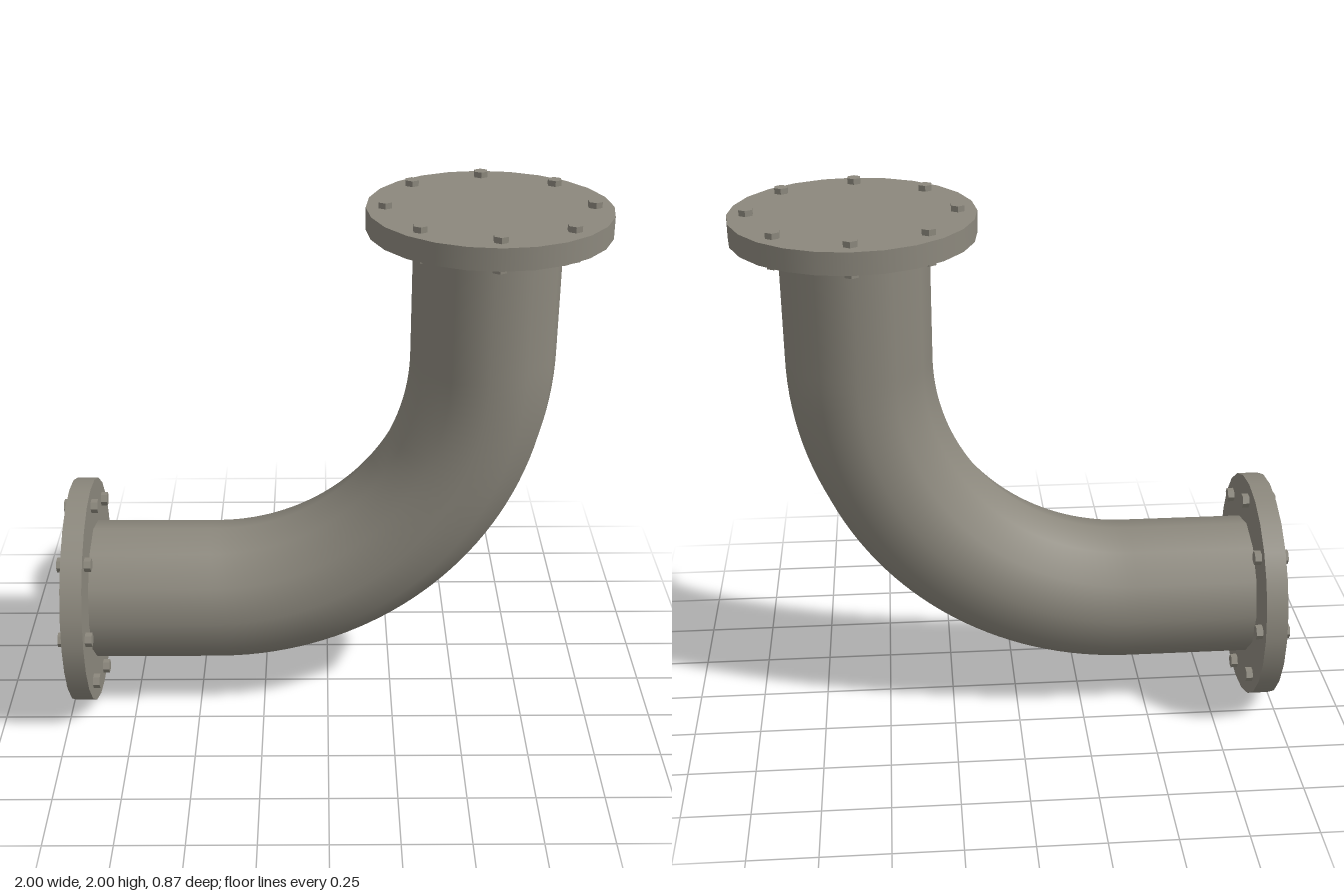
import * as THREE from 'three';

const AXIS_Y = 0.435; // height of the horizontal run
const AXIS_X = 0.565; // x of the vertical run
const BEND = 0.995; // bend radius at the centre line
const RUN = 0.495; // length of each straight run
const START_X = AXIS_X - BEND - RUN;

// Straight run, quarter bend, straight run
class ElbowCurve extends THREE.Curve {
  getPoint(t, target = new THREE.Vector3()) {
    const arc = BEND * Math.PI / 2;
    const s = t * (2 * RUN + arc);
    if (s < RUN) return target.set(START_X + s, AXIS_Y, 0);
    if (s > RUN + arc) return target.set(AXIS_X, AXIS_Y + BEND + s - RUN - arc, 0);
    const a = (s - RUN) / BEND;
    return target.set(AXIS_X - BEND + BEND * Math.sin(a), AXIS_Y + BEND * (1 - Math.cos(a)), 0);
  }
}

// Blind flange with a ring of eight through bolts, facing +y
function makeFlange(name, metal) {
  const flange = new THREE.Group();
  flange.name = name;
  const disc = new THREE.Mesh(new THREE.CylinderGeometry(0.433, 0.433, 0.08, 24), metal);
  disc.name = 'flangeDisc';
  flange.add(disc);

  const boltGeometry = new THREE.CylinderGeometry(0.027, 0.027, 0.126, 6).toNonIndexed();
  boltGeometry.computeVertexNormals();
  for (let i = 0; i < 8; i++) {
    const a = i * Math.PI / 4;
    const bolt = new THREE.Mesh(boltGeometry, metal);
    bolt.name = 'bolt';
    bolt.position.set(0.365 * Math.cos(a), -0.002, 0.365 * Math.sin(a));
    flange.add(bolt);
  }
  return flange;
}

export function createModel() {
  const model = new THREE.Group();
  model.name = 'pipeElbow';
  const metal = new THREE.MeshStandardMaterial({ color: 0x8c887d });
  metal.name = 'warm grey metal';

  const pipe = new THREE.Mesh(new THREE.TubeGeometry(new ElbowCurve(), 64, 0.265, 12, false), metal);
  pipe.name = 'pipe';
  model.add(pipe);

  const topFlange = makeFlange('topFlange', metal);
  topFlange.position.set(AXIS_X, 1.939, 0);
  model.add(topFlange);

  const sideFlange = makeFlange('sideFlange', metal);
  sideFlange.rotation.z = Math.PI / 2;
  sideFlange.position.set(-0.939, AXIS_Y, 0);
  model.add(sideFlange);

  return model;
}
